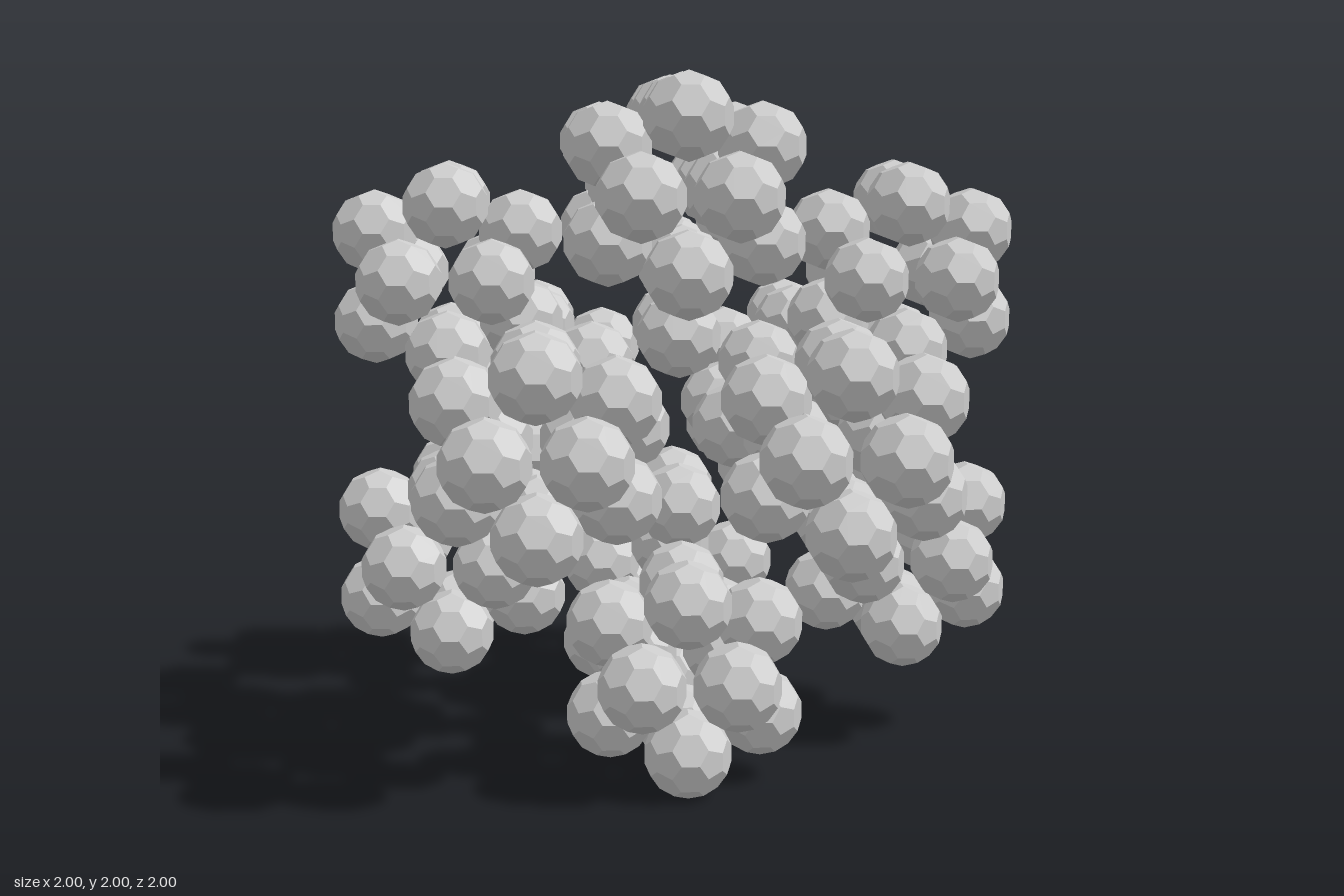
import * as THREE from 'three';
import { ConvexGeometry } from 'three/addons/geometries/ConvexGeometry.js';

const PHI = (1 + Math.sqrt(5)) / 2;

// The 12 corners of an icosahedron whose edge is 2 * s
function icosahedronCorners(s) {
  const corners = [];
  for (const a of [-s, s]) {
    for (const b of [-s * PHI, s * PHI]) {
      corners.push(
        new THREE.Vector3(0, b, a),
        new THREE.Vector3(a, 0, b),
        new THREE.Vector3(b, a, 0),
      );
    }
  }
  return corners;
}

// Truncated icosahedron: two points at the thirds of every icosahedron edge
function truncatedIcosahedron(s) {
  const corners = icosahedronCorners(s);
  const points = [];
  for (const p of corners) {
    for (const q of corners) {
      const d = p.distanceTo(q);
      if (d > 0 && d < 2.1 * s) points.push(p.clone().lerp(q, 1 / 3));
    }
  }
  return new ConvexGeometry(points);
}

export function createModel() {
  const model = new THREE.Group();
  model.name = 'icosahedralClusters';

  const geometry = truncatedIcosahedron(0.075);
  const material = new THREE.MeshStandardMaterial({ color: 0xcccccc, flatShading: true });

  // Twelve balls on the corners of a small icosahedron
  function cluster(name, size) {
    const group = new THREE.Group();
    group.name = name;
    for (const corner of icosahedronCorners(size)) {
      const ball = new THREE.Mesh(geometry, material);
      ball.name = 'ball';
      ball.position.copy(corner);
      group.add(ball);
    }
    return group;
  }

  // Inner core of balls
  const core = cluster('coreCluster', 0.154);
  core.position.y = 1;
  model.add(core);

  // Twelve outer clusters on the corners of a large icosahedron
  for (const corner of icosahedronCorners(0.412)) {
    const outer = cluster('outerCluster', 0.131);
    outer.position.copy(corner);
    outer.position.y += 1;
    model.add(outer);
  }

  return model;
}
